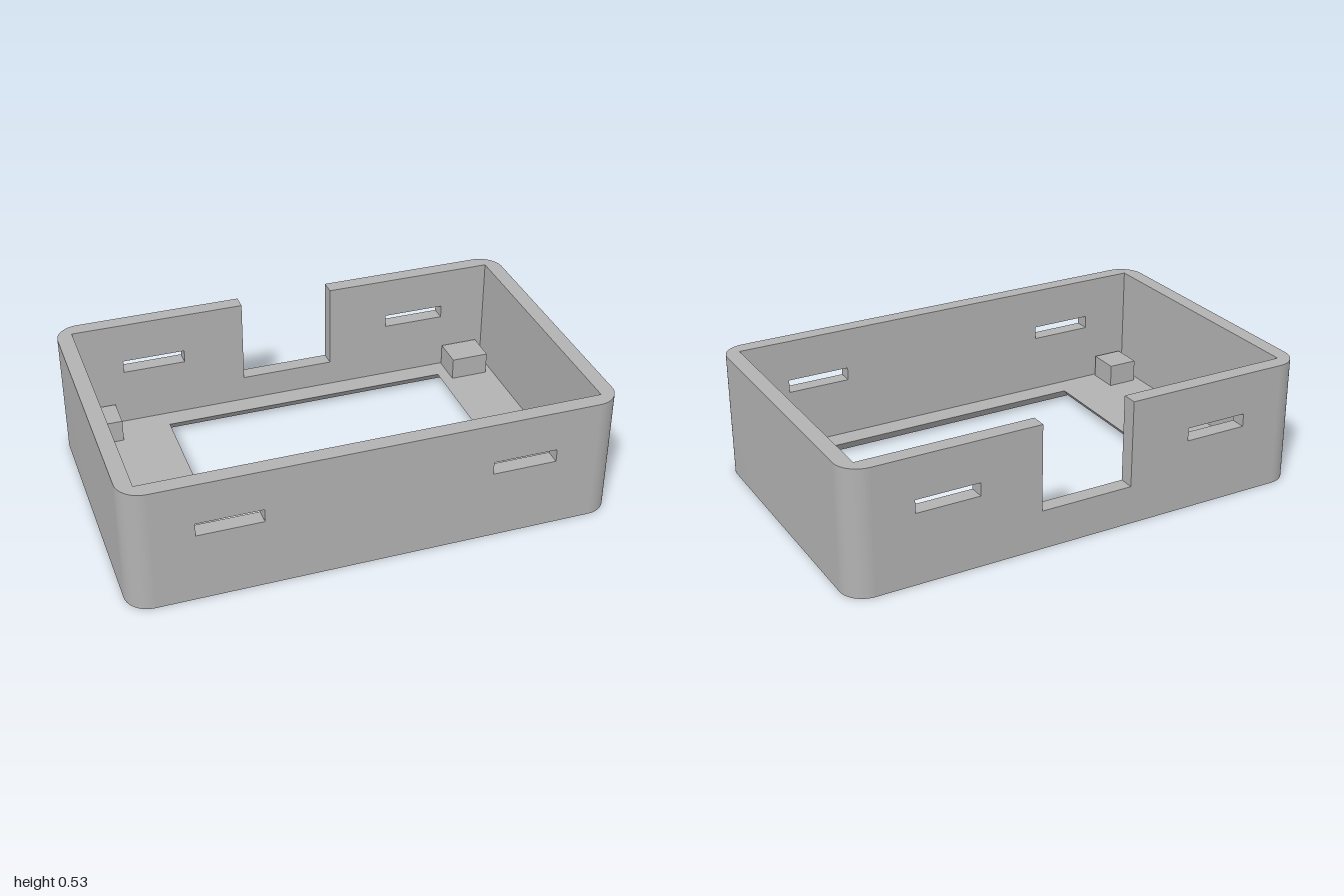
import * as THREE from 'three';
import { toCreasedNormals } from 'three/addons/utils/BufferGeometryUtils.js';

const X = 1, Z = 0.628, H = 0.53;      // outer half sizes and height
const WALL = 0.065, R = 0.1;           // wall thickness and corner radius
const IX = X - WALL, IZ = Z - WALL;    // inner half sizes
const FLOOR = 0.053;

const rect = (x0, y0, x1, y1, Type = THREE.Shape) =>
  new Type([[x0, y0], [x1, y0], [x1, y1], [x0, y1]].map(p => new THREE.Vector2(...p)));

// Long wall: flat panel with two slots and an optional notch in the top edge
function longWall(notched) {
  const x = X - R, shape = new THREE.Shape();
  shape.moveTo(-x, 0).lineTo(x, 0).lineTo(x, H);
  if (notched) shape.lineTo(0.2, H).lineTo(0.2, 0.165).lineTo(-0.2, 0.165).lineTo(-0.2, H);
  shape.lineTo(-x, H);
  for (const [a, b] of [[-0.73, -0.463], [0.463, 0.73]]) {
    shape.holes.push(rect(a, 0.3, b, 0.355, THREE.Path));
  }
  return new THREE.ExtrudeGeometry(shape, { depth: WALL, bevelEnabled: false });
}

// Short wall including both rounded corners, square on the inside
function shortWall() {
  const shape = new THREE.Shape();
  shape.moveTo(X - R, -Z);
  shape.absarc(X - R, -Z + R, R, -Math.PI / 2, 0, false);
  shape.absarc(X - R, Z - R, R, 0, Math.PI / 2, false);
  shape.lineTo(X - R, IZ).lineTo(IX, IZ).lineTo(IX, -IZ).lineTo(X - R, -IZ);
  const geo = new THREE.ExtrudeGeometry(shape, { depth: H, bevelEnabled: false, curveSegments: 14 });
  return toCreasedNormals(geo.rotateX(-Math.PI / 2), 0.5);
}

// Floor frame: window opening flares outwards towards the underside
function floorFrame() {
  const ring = (x0, x1, z0, z1, y) => [[x0, y, z1], [x1, y, z1], [x1, y, z0], [x0, y, z0]];
  const c = 0.05;
  const rings = [
    ring(-IX, IX, -IZ, IZ, FLOOR),
    ring(-0.565, 0.69, -0.474, 0.471, FLOOR),
    ring(-0.565 - c, 0.69 + c, -0.474 - c, 0.471 + c, 0),
    ring(-IX, IX, -IZ, IZ, 0),
  ];
  const pos = [];
  for (let r = 0; r < 3; r++) {
    for (let i = 0; i < 4; i++) {
      const j = (i + 1) % 4;
      const [a, b, d, e] = [rings[r][i], rings[r][j], rings[r + 1][j], rings[r + 1][i]];
      pos.push(...a, ...b, ...d, ...a, ...d, ...e);
    }
  }
  const geo = new THREE.BufferGeometry();
  geo.setAttribute('position', new THREE.Float32BufferAttribute(pos, 3));
  geo.computeVertexNormals();
  return geo;
}

export function createModel() {
  const group = new THREE.Group();
  group.name = 'openEnclosure';
  const grey = new THREE.MeshStandardMaterial({ color: 0xb2b2b2 });
  grey.name = 'grey plastic';
  const add = (name, geo) => {
    const mesh = new THREE.Mesh(geo, grey);
    mesh.name = name;
    group.add(mesh);
    return mesh;
  };

  // Walls
  add('frontWall', longWall(false)).position.z = IZ;
  add('backWall', longWall(true)).position.z = -Z;
  add('leftWall', shortWall());
  add('rightWall', shortWall()).rotation.y = Math.PI;

  // Floor with window
  add('floorFrame', floorFrame());

  // Corner posts
  const top = 0.15;
  for (const [side, x0, x1] of [['right', -0.909, -0.781], ['left', 0.74, 0.904]]) {
    for (const [end, z0, z1] of [['Back', -0.556, -0.421], ['Front', 0.416, 0.55]]) {
      const geo = new THREE.BoxGeometry(x1 - x0, top - FLOOR, z1 - z0);
      add(side + end + 'Post', geo).position.set((x0 + x1) / 2, (top + FLOOR) / 2, (z0 + z1) / 2);
    }
  }
  return group;
}
